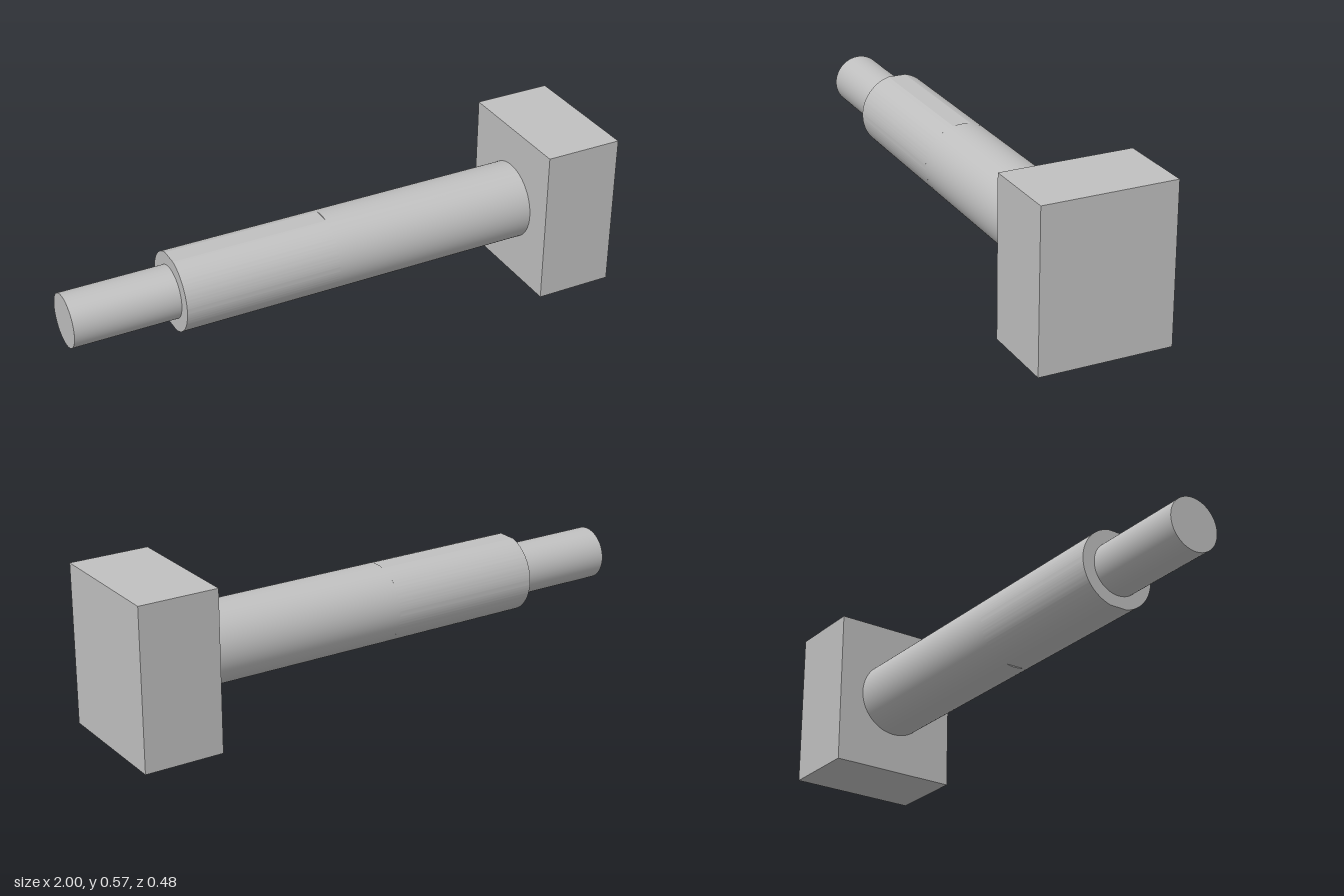
import * as THREE from 'three';
import { toCreasedNormals } from 'three/addons/utils/BufferGeometryUtils.js';

const AXIS_Y = 0.288, AXIS_Z = -0.003;

export function createModel() {
  const model = new THREE.Group();
  const steel = new THREE.MeshStandardMaterial({ color: 0xc0c0c0 });
  steel.name = 'grey steel';

  const add = (name, geometry, x, y, z) => {
    const mesh = new THREE.Mesh(geometry, steel);
    mesh.name = name;
    mesh.position.set(x, y, z);
    model.add(mesh);
  };

  // round bar along x, from x0 to x1
  const bar = (name, radius, x0, x1) => {
    const geometry = new THREE.CylinderGeometry(radius, radius, x1 - x0, 96).rotateZ(Math.PI / 2);
    add(name, geometry, (x0 + x1) / 2, AXIS_Y, AXIS_Z);
  };

  // rectangular head block
  add('head', new THREE.BoxGeometry(0.285, 0.573, 0.477), 0.8575, 0.2865, 0);

  // full round shank next to the head
  bar('shank', 0.141, -0.05, 0.715);

  // shank section with shallow flats milled on top and bottom
  const r = 0.141, a = Math.asin(0.137 / r);
  const section = new THREE.Shape();
  section.absarc(0, 0, r, -a, a, false);
  section.absarc(0, 0, r, Math.PI - a, Math.PI + a, false);
  section.closePath();
  const flats = new THREE.ExtrudeGeometry(section, { depth: 0.57, bevelEnabled: false, curveSegments: 48 });
  flats.rotateY(Math.PI / 2);
  add('flattenedShank', toCreasedNormals(flats, 0.2), -0.62, AXIS_Y, AXIS_Z);

  // narrow end spigot
  bar('spigot', 0.095, -1, -0.62);

  return model;
}
